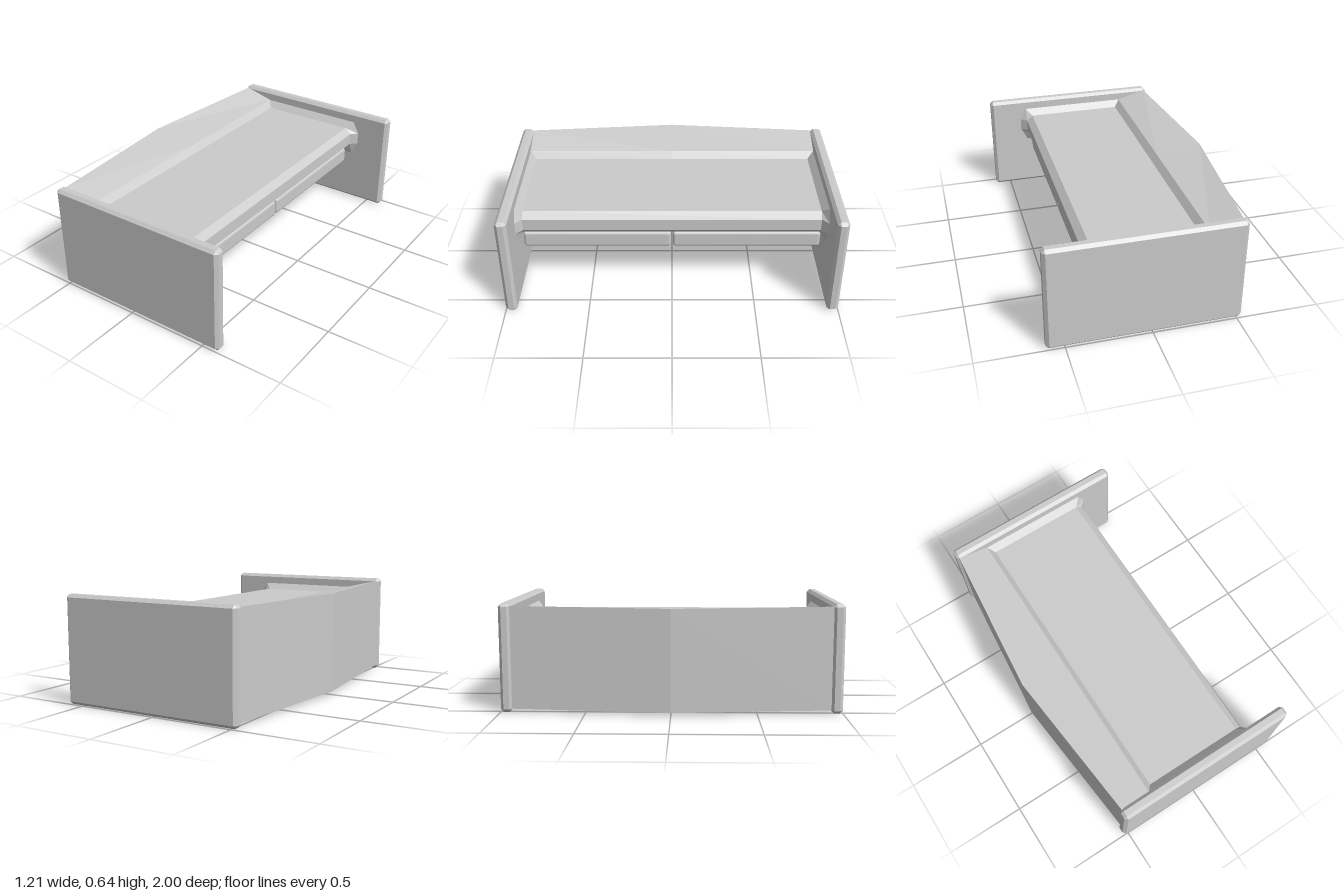
import * as THREE from 'three';
import { ConvexGeometry } from 'three/addons/geometries/ConvexGeometry.js';
import { RoundedBoxGeometry } from 'three/addons/geometries/RoundedBoxGeometry.js';

const material = new THREE.MeshStandardMaterial({ color: 0xcccccc });
const flatMaterial = new THREE.MeshStandardMaterial({ color: 0xcccccc, flatShading: true });

function addMesh(group, name, geometry, mat, x = 0, y = 0, z = 0) {
  const mesh = new THREE.Mesh(geometry, mat);
  mesh.name = name;
  mesh.position.set(x, y, z);
  group.add(mesh);
  return mesh;
}

// Box with every edge and corner cut off by c
function chamferBox(w, h, d, c) {
  const points = [];
  for (const sx of [-1, 1]) for (const sy of [-1, 1]) for (const sz of [-1, 1]) {
    for (let axis = 0; axis < 3; axis++) {
      const inset = [c, c, c];
      inset[axis] = 0;
      points.push(new THREE.Vector3(
        sx * (w / 2 - inset[0]), sy * (h / 2 - inset[1]), sz * (d / 2 - inset[2])));
    }
  }
  return new ConvexGeometry(points);
}

// Joins counter-clockwise xy outlines, placed at increasing z, into a faceted skin
function loft(sections) {
  const position = [];
  for (let k = 0; k < sections.length - 1; k++) {
    const [near, far] = [sections[k], sections[k + 1]];
    const n = near.points.length;
    for (let i = 0; i < n; i++) {
      const j = (i + 1) % n;
      const a = [...near.points[i], near.z], b = [...near.points[j], near.z];
      const c = [...far.points[j], far.z], d = [...far.points[i], far.z];
      position.push(...a, ...b, ...c, ...a, ...c, ...d);
    }
  }
  const geometry = new THREE.BufferGeometry();
  geometry.setAttribute('position', new THREE.Float32BufferAttribute(position, 3));
  geometry.computeVertexNormals();
  return geometry;
}

export function createModel() {
  const group = new THREE.Group();
  const inner = 0.94;

  // End panels and the pair of drawers, mirrored across the middle
  for (const side of [-1, 1]) {
    const prefix = side > 0 ? 'front' : 'rear';
    addMesh(group, prefix + 'EndPanel', chamferBox(1.135, 0.64, 0.07, 0.018),
      flatMaterial, 0.0375, 0.32, side * 0.965);
    addMesh(group, prefix + 'Drawer', new RoundedBoxGeometry(0.64, 0.105, 0.895, 3, 0.018),
      material, 0.01, 0.3325, side * 0.4525);
  }

  // Desktop slab, flaring out where it meets the end panels
  const slab = [[-0.3, 0.385], [0.32, 0.385], [0.36, 0.425], [0.36, 0.5], [0.32, 0.535], [-0.3, 0.535]];
  const flare = [[-0.34, 0.345], [0.36, 0.345], [0.4, 0.425], [0.4, 0.5], [0.36, 0.575], [-0.325, 0.575]];
  addMesh(group, 'desktop', loft([
    { z: -0.928, points: flare },
    { z: -0.89, points: slab },
    { z: 0.89, points: slab },
    { z: 0.928, points: flare },
  ]), flatMaterial);

  // Bowed back body with a sloping underside and a ledge that drops to the desktop
  const backSection = (z, outerX, topY) => ({ z, points: [
    [outerX, 0.02], [outerX + 0.025, 0.02], [outerX + 0.045, 0.045],
    [-0.31, 0.28], [-0.29, 0.29], [-0.29, 0.535], [-0.325, 0.575], [outerX, topY],
  ] });
  addMesh(group, 'bowedBack', loft([
    backSection(-inner, -0.515, 0.626),
    backSection(0, -0.608, 0.62),
    backSection(inner, -0.515, 0.626),
  ]), flatMaterial);

  return group;
}
